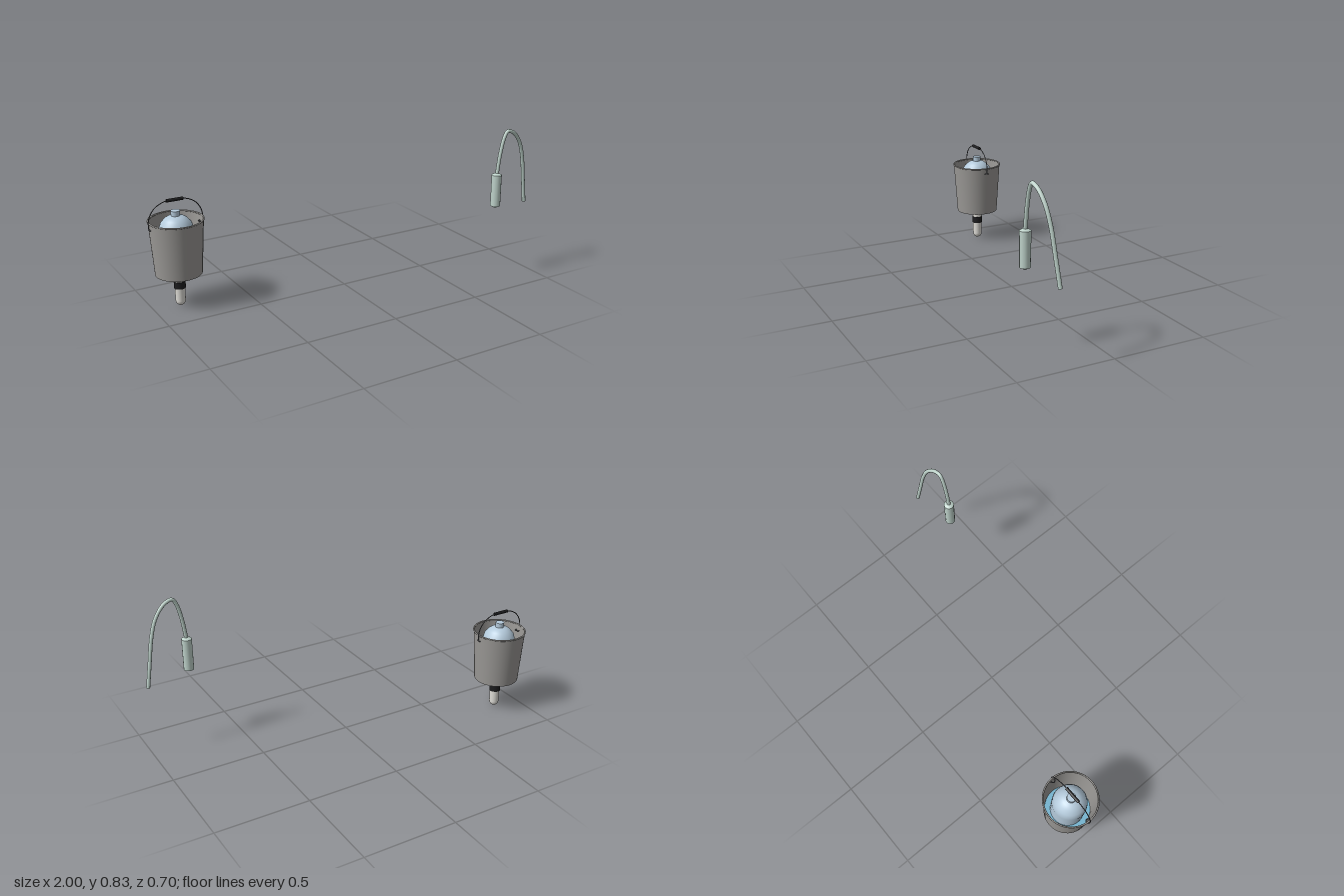
import * as THREE from 'three';

const mat = (color) => new THREE.MeshStandardMaterial({ color, side: THREE.DoubleSide });
const pts = (list) => list.map(([x, y]) => new THREE.Vector2(x, y));
const vecs = (list) => list.map((p) => new THREE.Vector3(...p));

function add(parent, name, geometry, material) {
  const mesh = new THREE.Mesh(geometry, material);
  mesh.name = name;
  parent.add(mesh);
  return mesh;
}

// Lathe whose profile corners stay sharp: each straight run is its own band
function turned(parent, name, runs, material, sides = 40) {
  const group = new THREE.Group();
  group.name = name;
  runs.forEach((run, i) => add(group, `${name}Band${i + 1}`, new THREE.LatheGeometry(pts(run), sides), material));
  parent.add(group);
  return group;
}

function makeBucket() {
  const bucket = new THREE.Group();
  bucket.name = 'bucketAssembly';
  const grey = mat(0x9b9996), pale = mat(0xb4cadb), black = mat(0x1c1c1e);
  const white = mat(0xe0ded8), wire = mat(0x55565a);

  // Tapered pail with a rolled rim
  turned(bucket, 'pail', [
    [[0, 0.178], [0.12, 0.178]],
    [[0.12, 0.178], [0.139, 0.463]],
    [[0.136, 0.468], [0.116, 0.184]],
    [[0.116, 0.184], [0, 0.184]],
  ], grey, 48);
  const rim = add(bucket, 'rim', new THREE.TorusGeometry(0.1385, 0.0045, 8, 48), grey);
  rim.rotation.x = Math.PI / 2;
  rim.position.y = 0.466;

  // Water standing in the bottom
  const water = add(bucket, 'water', new THREE.CircleGeometry(0.118, 40), mat(0x6fb0cc));
  water.rotation.x = -Math.PI / 2;
  water.position.y = 0.23;

  // Round-shouldered bottle with a short neck
  turned(bucket, 'bottle', [
    [[0.088, 0.185], [0.09, 0.39], [0.087, 0.42], [0.079, 0.447], [0.06, 0.47], [0.042, 0.482], [0.023, 0.488]],
    [[0.023, 0.488], [0.023, 0.514]],
    [[0.023, 0.514], [0, 0.514]],
  ], pale);

  // Round-ended spout under the pail, with a flared collar and a dark band
  const spout = [[0, 0]];
  for (let i = 1; i <= 8; i++) {
    const a = (i / 8) * Math.PI / 2;
    spout.push([0.026 * Math.sin(a), 0.028 * (1 - Math.cos(a))]);
  }
  spout.push([0.028, 0.168]);
  turned(bucket, 'spout', [spout, [[0.028, 0.168], [0.033, 0.178]]], white, 32);
  turned(bucket, 'spoutBand', [
    [[0.027, 0.096], [0.03, 0.096]],
    [[0.03, 0.096], [0.03, 0.134]],
    [[0.03, 0.134], [0.027, 0.134]],
  ], black, 32);

  // Wire bail, its grip and the side loops
  const half = [[0.142, 0.435, 0], [0.143, 0.475, 0], [0.132, 0.51, 0], [0.108, 0.542, 0], [0.075, 0.562, 0], [0.04, 0.571, 0]];
  const left = half.map(([x, y, z]) => [-x, y, z]);
  const bail = new THREE.CatmullRomCurve3(vecs([...half, ...left.reverse()]));
  add(bucket, 'bail', new THREE.TubeGeometry(bail, 56, 0.0025, 8), wire);
  const grip = add(bucket, 'grip', new THREE.CylinderGeometry(0.0085, 0.0085, 0.09, 16), black);
  grip.rotation.z = Math.PI / 2;
  grip.position.y = 0.571;
  for (const side of [-1, 1]) {
    const loop = add(bucket, side > 0 ? 'leftLoop' : 'rightLoop', new THREE.TorusGeometry(0.011, 0.0028, 8, 20), wire);
    loop.rotation.x = Math.PI / 2;
    loop.position.set(side * 0.132, 0.435, 0);
  }

  bucket.position.set(-0.856, 0, -0.208);
  return bucket;
}

function makeHose() {
  const hose = new THREE.Group();
  hose.name = 'hoseAssembly';
  const green = mat(0xbfd3cb);

  // Weighted end piece with a blunt tip
  const weight = turned(hose, 'weight', [
    [[0, 0.4], [0.027, 0.414]],
    [[0.027, 0.414], [0.027, 0.586]],
    [[0.027, 0.586], [0.01, 0.595], [0, 0.595]],
  ], green, 12);
  weight.position.set(0.75, 0, 0.326);

  // Bent hose
  const path = new THREE.CatmullRomCurve3(vecs([
    [0.75, 0.585, 0.326], [0.766, 0.7, 0.326], [0.788, 0.785, 0.326], [0.808, 0.816, 0.326],
    [0.838, 0.81, 0.324], [0.868, 0.79, 0.32], [0.91, 0.732, 0.313], [0.94, 0.645, 0.304],
    [0.965, 0.515, 0.294], [0.989, 0.386, 0.284],
  ]));
  add(hose, 'tube', new THREE.TubeGeometry(path, 60, 0.01, 10), green);
  const end = add(hose, 'tubeEnd', new THREE.CircleGeometry(0.01, 10), green);
  end.position.copy(path.getPoint(1));
  end.lookAt(end.position.clone().add(path.getTangent(1)));
  return hose;
}

export function createModel() {
  const model = new THREE.Group();
  model.name = 'bucketAndHose';
  model.add(makeBucket(), makeHose());
  return model;
}
